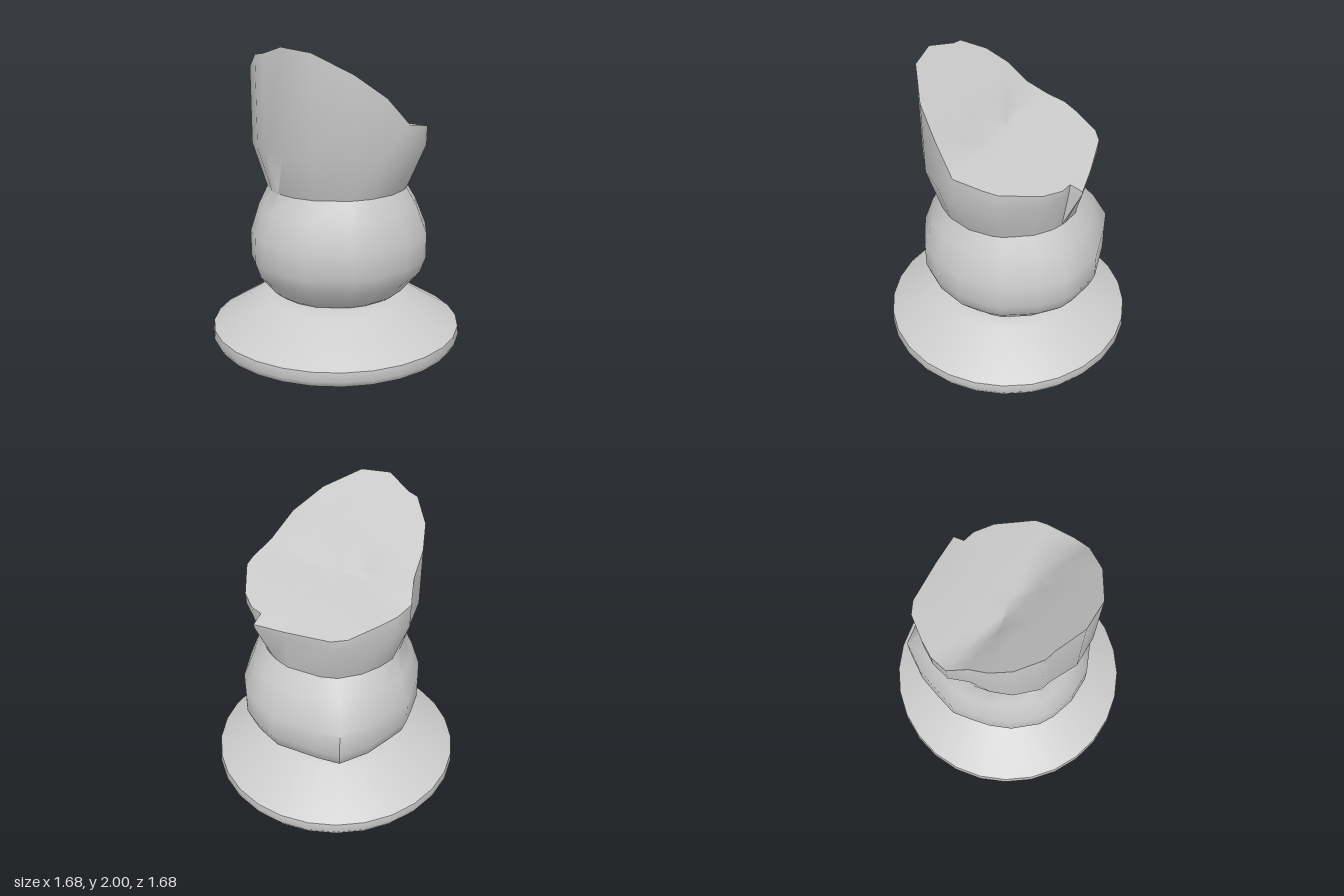
import * as THREE from 'three';
import { toCreasedNormals } from 'three/addons/utils/BufferGeometryUtils.js';

const material = new THREE.MeshStandardMaterial({ color: 0xcccccc });

// Plan outlines as [x, z], from the front round by +x; both have the same number of points
const rim = [
  [0, 0.55], [0.2, 0.52], [0.4, 0.37], [0.52, 0.2], [0.59, 0.05], [0.57, -0.15], [0.55, -0.23], [0.38, -0.43],
  [0.26, -0.5], [0.175, -0.51], [0.165, -0.59], [-0.05, -0.55], [-0.34, -0.48], [-0.42, -0.42], [-0.51, -0.25],
  [-0.56, -0.13], [-0.57, 0], [-0.5, 0.12], [-0.47, 0.25], [-0.4, 0.37], [-0.26, 0.48], [-0.19, 0.49],
];
const belly = [
  [0, 0.575], [0.18, 0.55], [0.42, 0.4], [0.52, 0.26], [0.59, 0.05], [0.58, -0.15], [0.56, -0.24], [0.43, -0.45],
  [0.3, -0.57], [0.2, -0.61], [0.15, -0.62], [0, -0.65], [-0.3, -0.58], [-0.45, -0.53], [-0.54, -0.33],
  [-0.57, -0.15], [-0.59, 0], [-0.55, 0.12], [-0.5, 0.25], [-0.42, 0.38], [-0.27, 0.51], [-0.17, 0.55],
];

// Height of the slanted top for a given z
const slope = [[-0.6, 1.38], [-0.5, 1.42], [-0.2, 1.49], [0.05, 1.53], [0.15, 1.66], [0.55, 2]];
function topHeight(z) {
  for (let i = 1; i < slope.length; i++) {
    const [z0, y0] = slope[i - 1], [z1, y1] = slope[i];
    if (z <= z1) return y0 + (y1 - y0) * (z - z0) / (z1 - z0);
  }
  return 2;
}

// Skin over rings of points, with each end closed to its centre
function loft(rings) {
  const positions = rings.flat(2), index = [], n = rings[0].length;
  for (let r = 0; r < rings.length - 1; r++) {
    for (let i = 0; i < n; i++) {
      const a = r * n + i, b = r * n + (i + 1) % n;
      index.push(a, b, b + n, a, b + n, a + n);
    }
  }
  const geometry = new THREE.BufferGeometry();
  geometry.setAttribute('position', new THREE.Float32BufferAttribute(positions, 3));
  geometry.setIndex(index);
  return toCreasedNormals(geometry, 0.75);
}

function makeBody() {
  const ring = (points, y, s = 1) => points.map(([x, z]) => [x * s, y, z * s]);
  // Neck is nearly round, with a trace of the lumps below
  const neck = belly.map(([x, z]) => {
    const k = 0.465 / Math.hypot(x, z) * 0.75 + 0.77 * 0.25;
    return [x * k, z * k - 0.01];
  });
  const shoulder = belly.map(([x, z], i) => [x * 0.5 + neck[i][0] * 0.5, z * 0.5 + neck[i][1] * 0.5]);
  const rings = [
    ring(belly, 0.355, 0.001), ring(belly, 0.355, 0.71), ring(belly, 0.375, 0.76), ring(belly, 0.5, 0.94),
    ring(belly, 0.6, 1), ring(belly, 0.77, 1), ring(shoulder, 0.95), ring(neck, 1.07), ring(rim, 1.36, 0.995),
  ];
  // Rim, then the slanted top inwards
  for (const s of [1, 0.8, 0.6, 0.4, 0.2, 0.001]) {
    rings.push(rim.map(([x, z]) => [x * s, topHeight(z * s), z * s]));
  }
  return new THREE.Mesh(loft(rings), material);
}

function makeBase() {
  const profile = [[0, 0], [0.78, 0.005], [0.815, 0.02], [0.838, 0.06], [0.832, 0.12],
    [0.5, 0.325], [0.45, 0.342], [0.4, 0.35], [0, 0.35]].map(([r, y]) => new THREE.Vector2(r, y));
  return new THREE.Mesh(toCreasedNormals(new THREE.LatheGeometry(profile, 28), 0.75), material);
}

export function createModel() {
  const model = new THREE.Group();
  model.name = 'brokenBust';
  const base = makeBase();
  base.name = 'base';
  const body = makeBody();
  body.name = 'body';
  model.add(base, body);
  return model;
}
